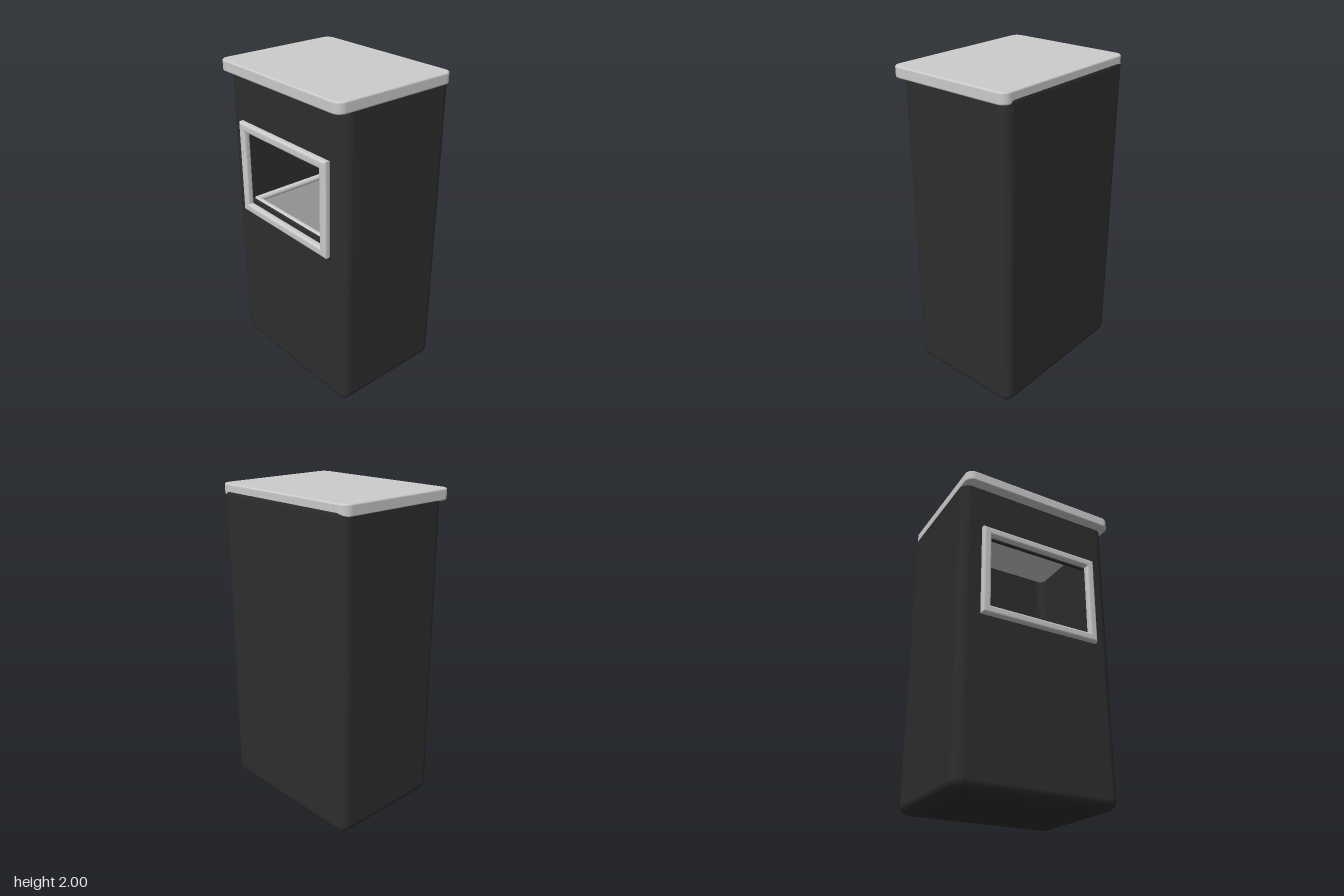
import * as THREE from 'three';
import { RoundedBoxGeometry } from 'three/addons/geometries/RoundedBoxGeometry.js';

const dark = new THREE.MeshStandardMaterial({ name: 'charcoal', color: 0x2e2e2e, side: THREE.DoubleSide });
const light = new THREE.MeshStandardMaterial({ name: 'light grey', color: 0xcccccc });

// Rectangle with optional corner radius, centred on the origin
function rect(Type, w, h, r = 0) {
  const s = new Type(), x = w / 2, y = h / 2;
  if (r === 0) {
    s.moveTo(-x, -y).lineTo(x, -y).lineTo(x, y).lineTo(-x, y).closePath();
    return s;
  }
  s.absarc(x - r, -y + r, r, -Math.PI / 2, 0);
  s.absarc(x - r, y - r, r, 0, Math.PI / 2);
  s.absarc(-x + r, y - r, r, Math.PI / 2, Math.PI);
  s.absarc(-x + r, -y + r, r, Math.PI, Math.PI * 1.5);
  s.closePath();
  return s;
}

// Extrusion of total thickness depth, from z = 0, with rounded edges inside the outline
function slab(shape, depth, bevel = 0) {
  const g = new THREE.ExtrudeGeometry(shape, {
    depth: depth - 2 * bevel, bevelEnabled: bevel > 0, bevelSize: bevel,
    bevelThickness: bevel, bevelOffset: -bevel, bevelSegments: 4, curveSegments: 10,
  });
  return g.translate(0, 0, bevel);
}

// Rectangular border of even width t
function border(w, h, t, depth, bevel, r = 0) {
  const s = rect(THREE.Shape, w, h, r);
  s.holes.push(rect(THREE.Path, w - 2 * t, h - 2 * t, r > t ? r - t : 0));
  return slab(s, depth, bevel);
}

// Rounded box with its flat front left open
function openFrontShell(w, h, d, r) {
  const src = new RoundedBoxGeometry(w, h, d, 5, r);
  const p = src.attributes.position, n = src.attributes.normal;
  const pos = [], nor = [];
  for (let i = 0; i < p.count; i += 3) {
    const corners = [i, i + 1, i + 2];
    if (corners.every(k => p.getZ(k) > d / 2 - 1e-4)) continue;
    for (const k of corners) {
      pos.push(p.getX(k), p.getY(k), p.getZ(k));
      nor.push(n.getX(k), n.getY(k), n.getZ(k));
    }
  }
  const g = new THREE.BufferGeometry();
  g.setAttribute('position', new THREE.Float32BufferAttribute(pos, 3));
  g.setAttribute('normal', new THREE.Float32BufferAttribute(nor, 3));
  return g;
}

export function createModel() {
  const model = new THREE.Group();
  model.name = 'litterBin';
  const add = (name, geometry, material, x, y, z, parent = model) => {
    const m = new THREE.Mesh(geometry, material);
    m.name = name;
    m.position.set(x, y, z);
    parent.add(m);
    return m;
  };

  // Housing: rounded shell, with a front panel cut by the opening
  const W = 1.065, H = 1.99, D = 0.79, R = 0.06;
  const cx = -0.007, cz = -0.03, front = cz + D / 2;
  add('housing', openFrontShell(W, H, D, R), dark, cx, H / 2, cz);

  const panel = rect(THREE.Shape, W - 2 * R, H - 2 * R);
  const hole = new THREE.Path();
  const x0 = -0.36, x1 = 0.36, y0 = 1.11 - H / 2, y1 = 1.575 - H / 2;
  hole.moveTo(x0, y0).lineTo(x1, y0).lineTo(x1, y1).lineTo(x0, y1).closePath();
  panel.holes.push(hole);
  add('frontPanel', slab(panel, 0.02), dark, cx, H / 2, front - 0.02);

  // Trim around the opening
  add('openingFrame', border(0.815, 0.6, 0.055, 0.045, 0.015), light, -0.003, 1.335, front - 0.003);

  // Lid
  const lid = slab(rect(THREE.Shape, 1.08, 0.85, 0.055), 0.07, 0.01).rotateX(-Math.PI / 2);
  add('lid', lid, light, 0, 1.93, 0.004);

  // Removable liner with a rounded rim
  const liner = new THREE.Group();
  liner.name = 'liner';
  liner.position.set(cx, 0, -0.025);
  model.add(liner);
  const up = g => g.rotateX(-Math.PI / 2);
  add('linerWalls', up(border(0.78, 0.67, 0.01, 1.0, 0)), light, 0, 0.08, 0, liner);
  add('linerFloor', new THREE.BoxGeometry(0.78, 0.02, 0.67), light, 0, 0.09, 0, liner);
  add('linerRim', up(border(0.82, 0.71, 0.04, 0.04, 0.018)), light, 0, 1.06, 0, liner);

  return model;
}
